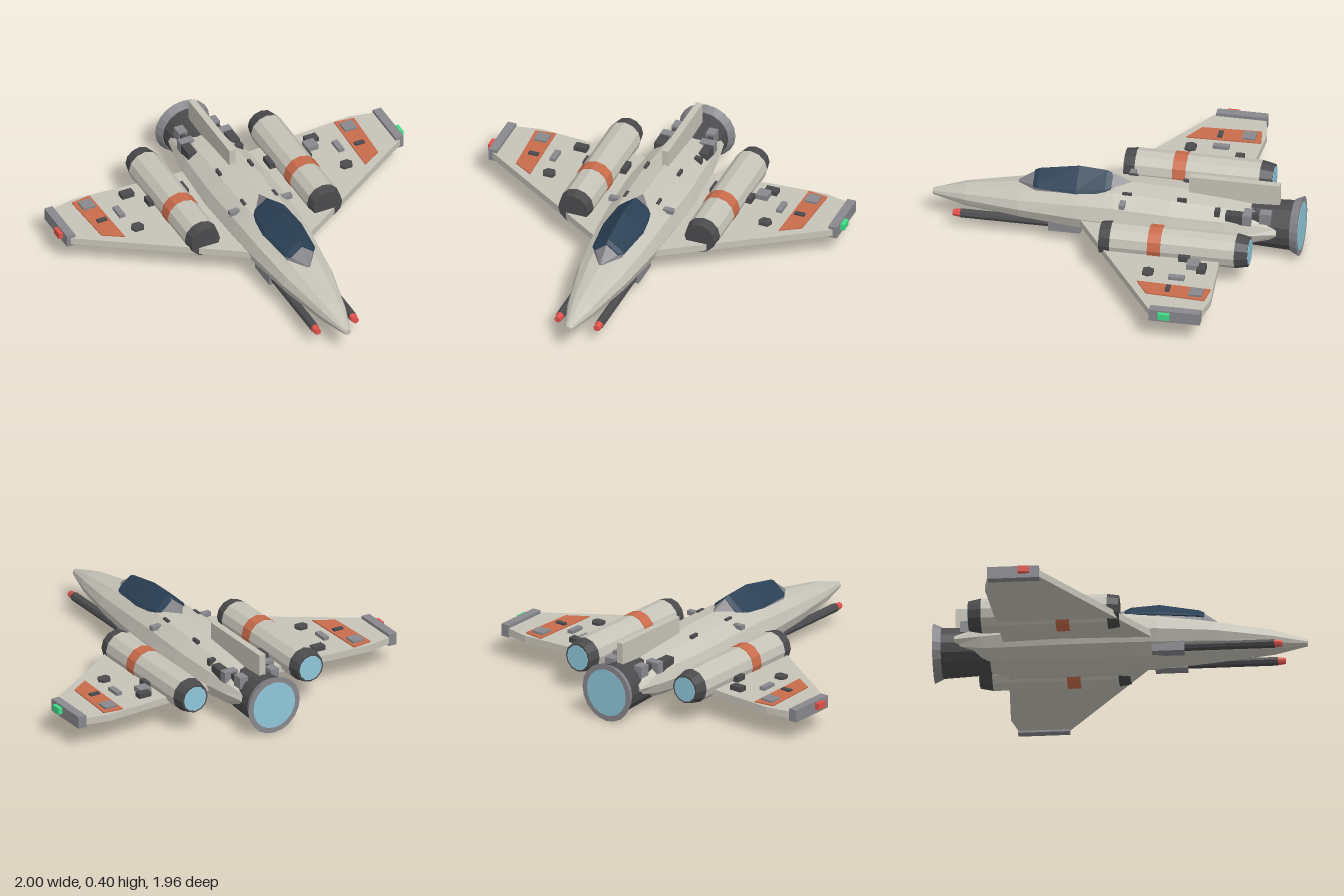
import * as THREE from 'three';

const mat = (color) => new THREE.MeshStandardMaterial({ color, flatShading: true, roughness: 0.8 });

export function createModel() {
  const root = new THREE.Group();
  root.name = 'starfighter';
  const hull = mat(0xc6c3b8), dark = mat(0x4b4b4d), grey = mat(0x88888d), orange = mat(0xc96b4b),
    glass = mat(0x2b4055), glow = mat(0x8fc6da), red = mat(0xe0524a), green = mat(0x40dc86);

  const add = (name, geometry, material, x = 0, y = 0, z = 0) => {
    const mesh = new THREE.Mesh(geometry, material);
    mesh.name = name;
    mesh.position.set(x, y, z);
    root.add(mesh);
    return mesh;
  };

  // Box given by its extents on each axis
  const box = (name, material, x0, x1, y0, y1, z0, z1) =>
    add(name, new THREE.BoxGeometry(Math.abs(x1 - x0), y1 - y0, z1 - z0), material,
      (x0 + x1) / 2, (y0 + y1) / 2, (z0 + z1) / 2);

  // Tapered cylinder along z, from the front end to the back end
  const tube = (name, material, x, y, zFront, zBack, rFront, rBack, sides = 12) =>
    add(name, new THREE.CylinderGeometry(rFront, rBack, zFront - zBack, sides).rotateX(Math.PI / 2),
      material, x, y, (zFront + zBack) / 2);

  // Skin over closed rings ordered front to back, each running clockwise seen from the front
  const loft = (rings) => {
    const n = rings[0].length, index = [], last = (rings.length - 1) * n;
    for (let i = 0; i < rings.length - 1; i++)
      for (let j = 0; j < n; j++) {
        const a = i * n + j, b = i * n + (j + 1) % n;
        index.push(a, b, a + n, b, b + n, a + n);
      }
    for (let j = 1; j < n - 1; j++) index.push(0, j + 1, j, last, last + j, last + j + 1);
    const indexed = new THREE.BufferGeometry();
    indexed.setAttribute('position', new THREE.Float32BufferAttribute(rings.flat(2), 3));
    indexed.setIndex(index);
    const geometry = indexed.toNonIndexed();
    geometry.computeVertexNormals();
    return geometry;
  };

  // Flat plate: outline in x and z, thickness in y
  const plate = (name, material, outline, y0, y1, side) => {
    const shape = new THREE.Shape(outline.map(([x, z]) => new THREE.Vector2(side * x, -z)));
    const geometry = new THREE.ExtrudeGeometry(shape, { depth: y1 - y0, bevelEnabled: false });
    return add(name, geometry.rotateX(-Math.PI / 2), material, 0, y0, 0);
  };

  // Fuselage stations: z, half width, bottom, widest height, top
  const stations = [
    [0.975, 0.018, 0.125, 0.143, 0.16],
    [0.8, 0.075, 0.09, 0.155, 0.213],
    [0.5, 0.142, 0.068, 0.17, 0.262],
    [0.2, 0.178, 0.045, 0.175, 0.308],
    [0, 0.19, 0.04, 0.175, 0.326],
    [-0.3, 0.2, 0.034, 0.172, 0.318],
    [-0.6, 0.182, 0.042, 0.17, 0.295],
    [-0.72, 0.165, 0.055, 0.17, 0.28],
    [-0.865, 0.138, 0.11, 0.172, 0.225],
  ];
  add('fuselage', loft(stations.map(([z, w, bottom, mid, top]) =>
    Array.from({ length: 12 }, (_, k) => {
      const a = k * Math.PI / 6, c = Math.cos(a);
      return [w * Math.sin(a), mid + c * (c > 0 ? top - mid : mid - bottom), z];
    }))), hull);

  // Canopy stations: z, half width, base, shoulder, peak
  const canopy = (list) => loft(list.map(([z, w, base, shoulder, peak]) => [
    [0, peak, z], [w * 0.9, shoulder, z], [w, base, z], [-w, base, z], [-w * 0.9, shoulder, z],
  ]));
  add('canopyFrame', canopy([
    [0.52, 0.008, 0.25, 0.262, 0.27],
    [0.42, 0.08, 0.25, 0.285, 0.343],
    [0.2, 0.11, 0.26, 0.296, 0.385],
    [0.04, 0.092, 0.27, 0.306, 0.375],
    [-0.075, 0.008, 0.29, 0.318, 0.327],
  ]), grey);
  add('canopyGlass', canopy([
    [0.435, 0.07, 0.28, 0.29, 0.338],
    [0.41, 0.09, 0.28, 0.291, 0.352],
    [0.2, 0.113, 0.285, 0.303, 0.391],
    [0.05, 0.096, 0.295, 0.313, 0.381],
    [0.02, 0.075, 0.3, 0.316, 0.366],
  ]), glass);

  // Dorsal fin and main nozzle
  box('dorsalFin', hull, -0.018, 0.018, 0.26, 0.4, -0.865, -0.385);
  tube('mainNozzle', dark, 0, 0.157, -0.68, -0.94, 0.122, 0.134, 16);
  tube('nozzleFlare', grey, 0, 0.157, -0.935, -0.978, 0.138, 0.158, 20);
  tube('nozzleGlow', glow, 0, 0.157, -0.96, -0.98, 0.128, 0.128, 20);

  for (const s of [1, -1]) {
    // Wing, stripe panel, tip pod and navigation light
    plate('wing', hull, [[0.1, 0.21], [0.19, 0.155], [0.955, -0.35], [0.955, -0.612], [0.8, -0.645],
      [0.45, -0.622], [0.1, -0.6]], 0.132, 0.17, s);
    plate('wingStripe', orange, [[0.82, -0.615], [0.71, -0.63], [0.698, -0.235], [0.803, -0.3]], 0.165, 0.176, s);
    box('wingTipPod', grey, s * 0.93, s * 0.977, 0.12, 0.187, -0.62, -0.35);
    box('navigationLight', s > 0 ? green : red, s * 0.975, s, 0.144, 0.178, -0.46, -0.4);

    // Engine nacelle
    const x = s * 0.355, y = 0.198;
    tube('engineIntake', dark, x, y, 0.02, -0.04, 0.083, 0.092);
    tube('engineBody', hull, x, y, -0.04, -0.7, 0.092, 0.092);
    tube('engineBand', orange, x, y, -0.24, -0.31, 0.095, 0.095);
    tube('engineExhaust', dark, x, y, -0.7, -0.768, 0.092, 0.078);
    tube('engineGlow', glow, x, y, -0.75, -0.771, 0.068, 0.068);
    box('engineInnerBox', dark, s * 0.235, s * 0.28, 0.165, 0.2, -0.5, -0.42);
    box('engineOuterBox', dark, s * 0.43, s * 0.473, 0.165, 0.2, -0.47, -0.41);

    // Cannon under the nose
    box('cannonMount', grey, s * 0.075, s * 0.142, 0.062, 0.122, 0.17, 0.34);
    tube('cannonBarrel', dark, s * 0.11, 0.095, 0.81, 0.18, 0.024, 0.024, 8);
    tube('cannonTip', red, s * 0.11, 0.095, 0.85, 0.805, 0.017, 0.023, 8);

    // Wing surface details
    box('wingHatch', grey, s * 0.725, s * 0.795, 0.165, 0.187, -0.595, -0.525);
    box('wingVent', dark, s * 0.72, s * 0.775, 0.165, 0.186, -0.42, -0.395);
    box('wingBlock', dark, s * 0.5, s * 0.57, 0.165, 0.196, -0.57, -0.525);
    box('wingBar', grey, s * 0.62, s * 0.652, 0.165, 0.188, -0.475, -0.39);
    plate('wingSensor', dark, [[0.57, -0.275], [0.585, -0.305], [0.625, -0.305], [0.642, -0.28],
      [0.63, -0.248], [0.58, -0.248]], 0.165, 0.185, s);

    // Fuselage surface details
    box('shoulderBox', grey, s * 0.125, s * 0.18, 0.262, 0.286, -0.07, -0.04);
    box('rearSideBox', dark, s * 0.1, s * 0.15, 0.22, 0.276, -0.69, -0.6);
    box('rearCrossBox', grey, s * 0.07, s * 0.15, 0.22, 0.28, -0.735, -0.69);
    box('nozzleTopBox', grey, s * 0.07, s * 0.12, 0.22, 0.282, -0.835, -0.775);
    box('nozzleLink', dark, s * 0.085, s * 0.112, 0.21, 0.27, -0.78, -0.73);
    for (const z of [-0.36, -0.07])
      box('spineClip', dark, s * 0.085, s * 0.1, 0.285, 0.312, z - 0.025, z + 0.025);
  }

  // Details on the left side only
  box('leftWingBlock', grey, 0.475, 0.54, 0.165, 0.198, -0.53, -0.465);
  box('leftRearClip', dark, 0.1, 0.14, 0.25, 0.285, -0.567, -0.54);

  return root;
}
